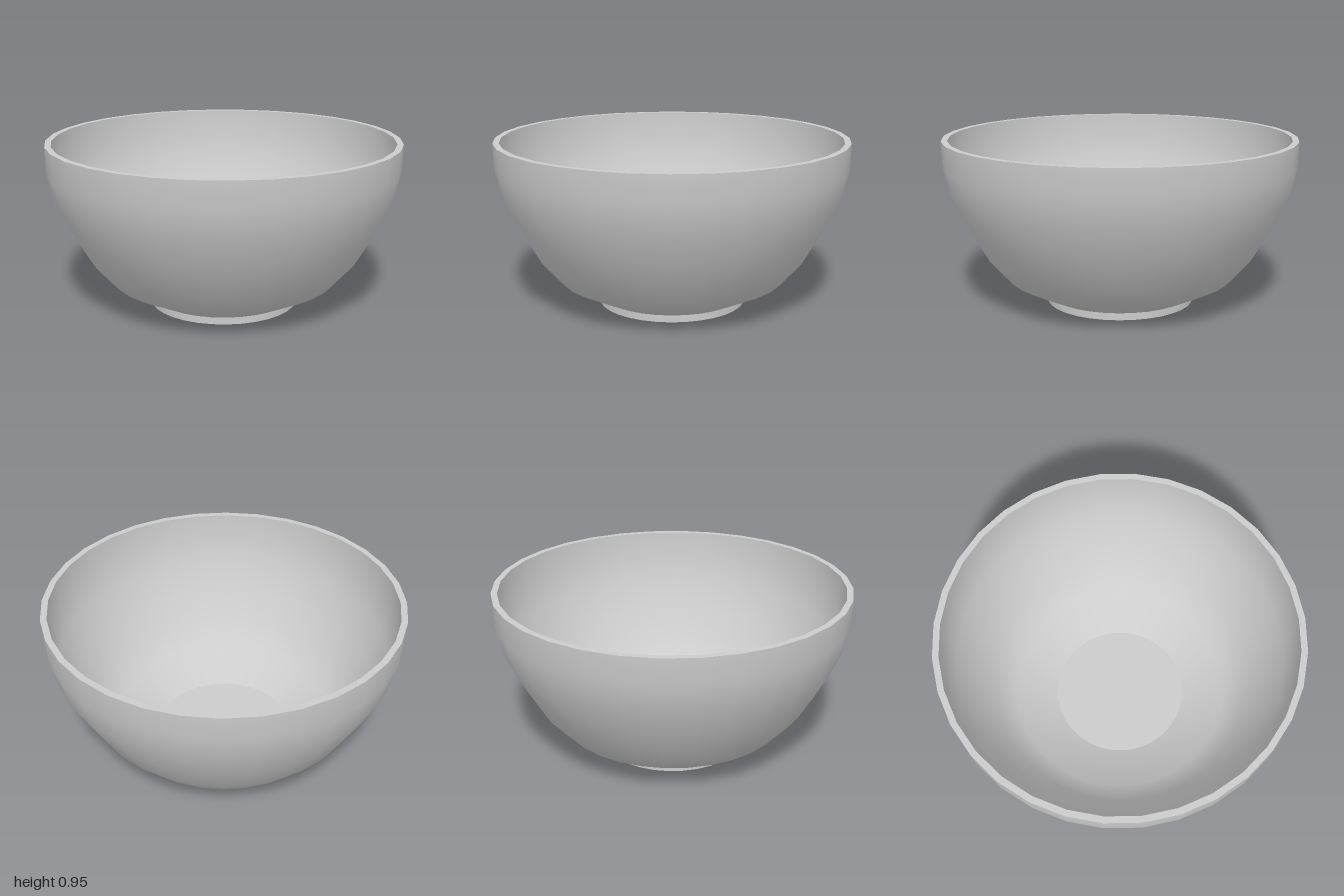
import * as THREE from 'three';
import { mergeGeometries } from 'three/addons/utils/BufferGeometryUtils.js';

const SIDES = 32;

// Each profile is one smooth band; edges between bands stay sharp.
function turned(name, profiles, material) {
  const bands = profiles.map((profile) =>
    new THREE.LatheGeometry(profile.map(([r, y]) => new THREE.Vector2(r, y)), SIDES));
  const mesh = new THREE.Mesh(mergeGeometries(bands), material);
  mesh.name = name;
  return mesh;
}

export function createModel() {
  const group = new THREE.Group();
  group.name = 'bowl';
  const material = new THREE.MeshStandardMaterial({ color: 0xcccccc });

  // Bowl shell: outside wall, flat rim, inside wall, flat floor
  const outside = [[0.42, 0.04], [0.645, 0.15], [0.77, 0.29], [0.865, 0.455], [0.955, 0.63], [0.995, 0.8], [1, 0.95]];
  const rim = [[1, 0.95], [0.965, 0.95]];
  const inside = [[0.965, 0.95], [0.96, 0.81], [0.92, 0.64], [0.835, 0.475], [0.74, 0.315], [0.62, 0.185], [0.38, 0.08]];
  const floor = [[0.38, 0.08], [0, 0.08]];
  group.add(turned('bowlShell', [outside, rim, inside, floor], material));

  // Foot: flat underside and short upright edge
  const underside = [[0, 0], [0.42, 0]];
  const edge = [[0.42, 0], [0.42, 0.04]];
  group.add(turned('foot', [underside, edge], material));

  return group;
}
